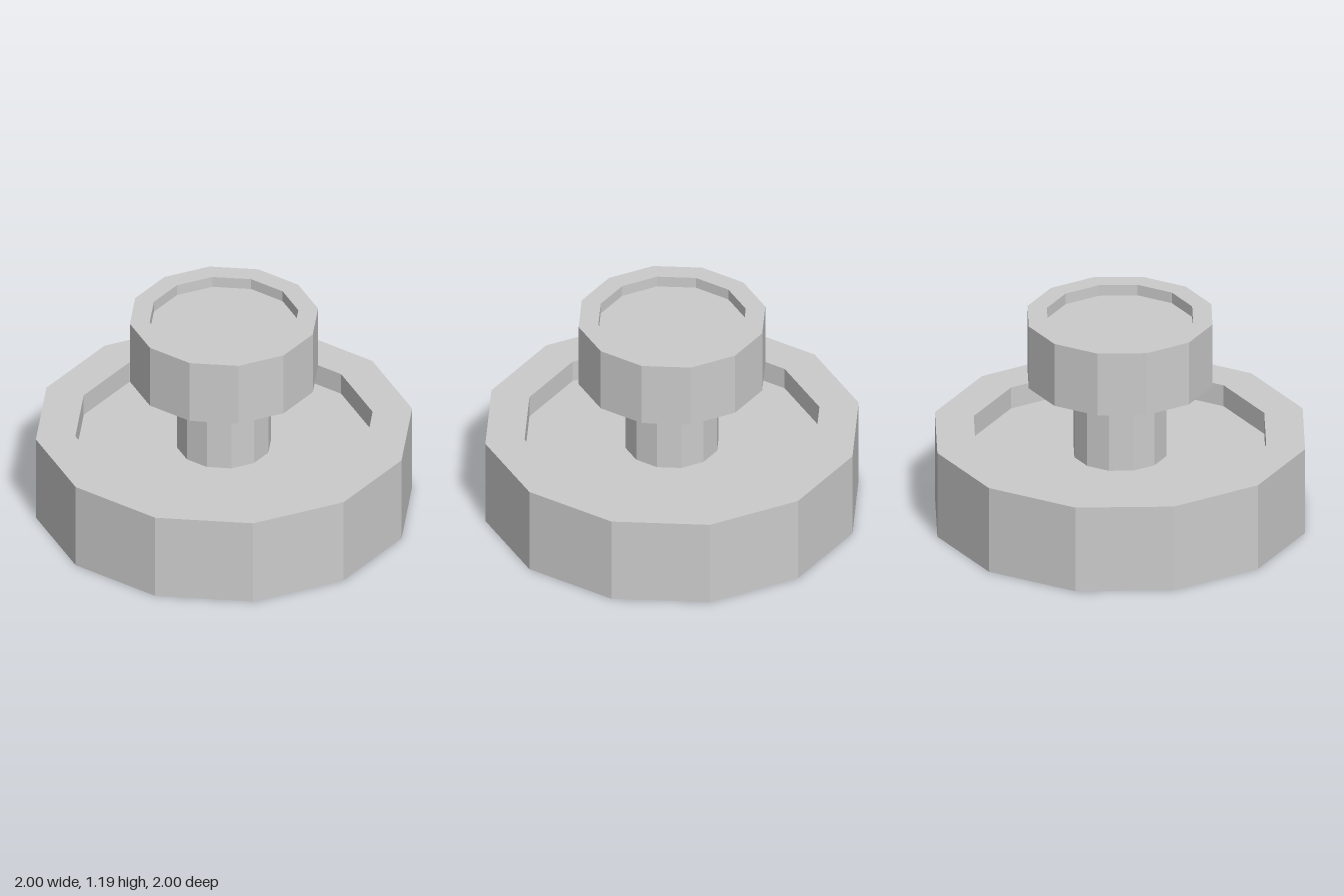
import * as THREE from 'three';

const SIDES = 12;
const TURN = Math.PI / SIDES;      // puts flat sides on the x and z axes
const K = 1 / Math.cos(TURN);      // flat-to-centre distance -> corner radius

const solid = new THREE.MeshStandardMaterial({ color: 0xcccccc, flatShading: true });
const sheet = new THREE.MeshStandardMaterial({ color: 0xcccccc, flatShading: true, side: THREE.DoubleSide });

// Twelve-sided turned part from [flat radius, height] pairs
function turned(name, profile, material) {
  const points = profile.map(([r, y]) => new THREE.Vector2(r * K, y));
  const mesh = new THREE.Mesh(new THREE.LatheGeometry(points, SIDES, TURN), material);
  mesh.name = name;
  return mesh;
}

// Hollow rim with a thin web set below its top edge
function wheel(name, outer, inner, bottom, top, web) {
  const group = new THREE.Group();
  group.name = name;
  group.add(
    turned(name + 'Rim', [[inner, bottom], [outer, bottom], [outer, top], [inner, top], [inner, bottom]], solid),
    turned(name + 'Web', [[inner, web], [0, web]], sheet)
  );
  return group;
}

export function createModel() {
  const model = new THREE.Group();
  model.name = 'steppedWheel';
  model.add(
    wheel('base', 1, 0.79, 0, 0.5, 0.375),
    wheel('knob', 0.5, 0.395, 0.82, 1.19, 1.127),
    // Column passes through the base web and ends at the knob web
    turned('column', [[0, 0.26], [0.25, 0.26], [0.25, 1.12], [0, 1.12]], solid)
  );
  return model;
}
